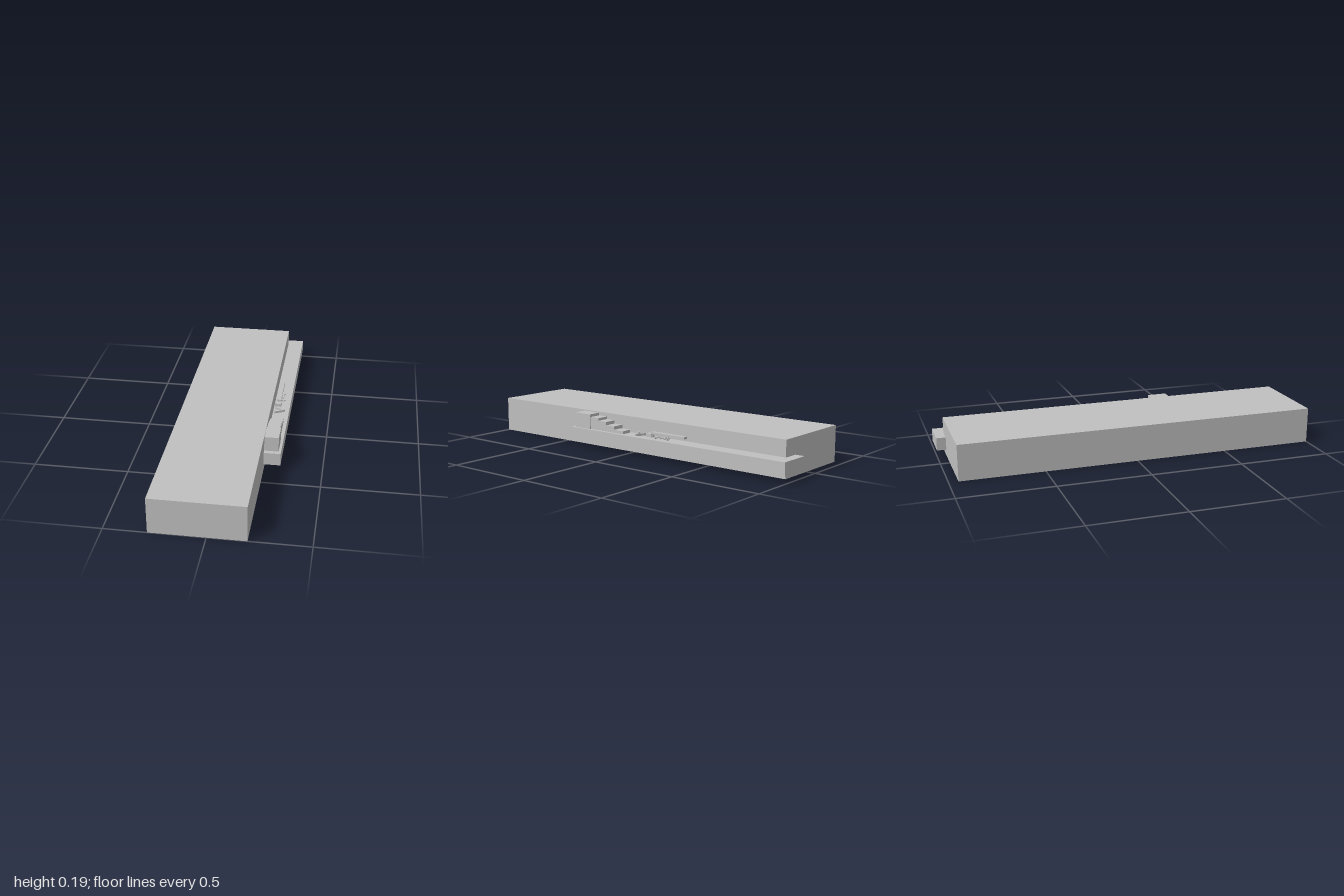
import * as THREE from 'three';

export function createModel() {
  const group = new THREE.Group();
  const grey = new THREE.MeshStandardMaterial({ color: 0xc0c0c0 });
  grey.name = 'plain grey';

  // Box given by its low and high limits on each axis
  function block(name, x0, x1, y0, y1, z0, z1) {
    const mesh = new THREE.Mesh(new THREE.BoxGeometry(x1 - x0, y1 - y0, z1 - z0), grey);
    mesh.position.set((x0 + x1) / 2, (y0 + y1) / 2, (z0 + z1) / 2);
    mesh.name = name;
    group.add(mesh);
    return mesh;
  }

  // Main slab and the ledge along its side, hooking round the back
  block('mainSlab', -0.283, 0.195, 0, 0.193, -0.95, 1);
  block('sideLedge', 0.11, 0.283, 0.037, 0.106, -1, 0.385);

  // Staircase rising toward the front: [back z, front z, top y, outer x]
  const steps = [
    [0.255, 0.362, 0.187, 0.27],
    [0.197, 0.255, 0.172, 0.264],
    [0.14, 0.197, 0.158, 0.264],
    [0.085, 0.14, 0.14, 0.264],
    [0.02, 0.085, 0.122, 0.264],
  ];
  steps.forEach(([z0, z1, top, x1], i) =>
    block('step' + (i + 1), i < 4 ? 0.19 : 0.205, x1, 0.1, top, z0, z1));

  // Raised rail and its foot
  block('rail', 0.206, 0.23, 0.122, 0.134, -0.366, -0.145);
  block('railFoot', 0.2, 0.235, 0.104, 0.124, -0.15, -0.115);

  // Small angled pair of bars
  for (const side of [-1, 1]) {
    const bar = block('angledBar', 0.2, 0.26, 0.104, 0.118, -0.069, -0.061);
    bar.position.z += side * 0.013;
    bar.rotation.y = side * 0.43;
  }

  // Tiny rubble on the ledge
  let seed = 7;
  const rand = () => (seed = (seed * 16807) % 2147483647) / 2147483647;
  for (let i = 0; i < 18; i++) {
    const x = 0.2 + rand() * 0.045, z = -0.28 + rand() * 0.13;
    block('rubble', x, x + 0.008, 0.104, 0.11 + rand() * 0.006, z, z + 0.009);
  }
  return group;
}
